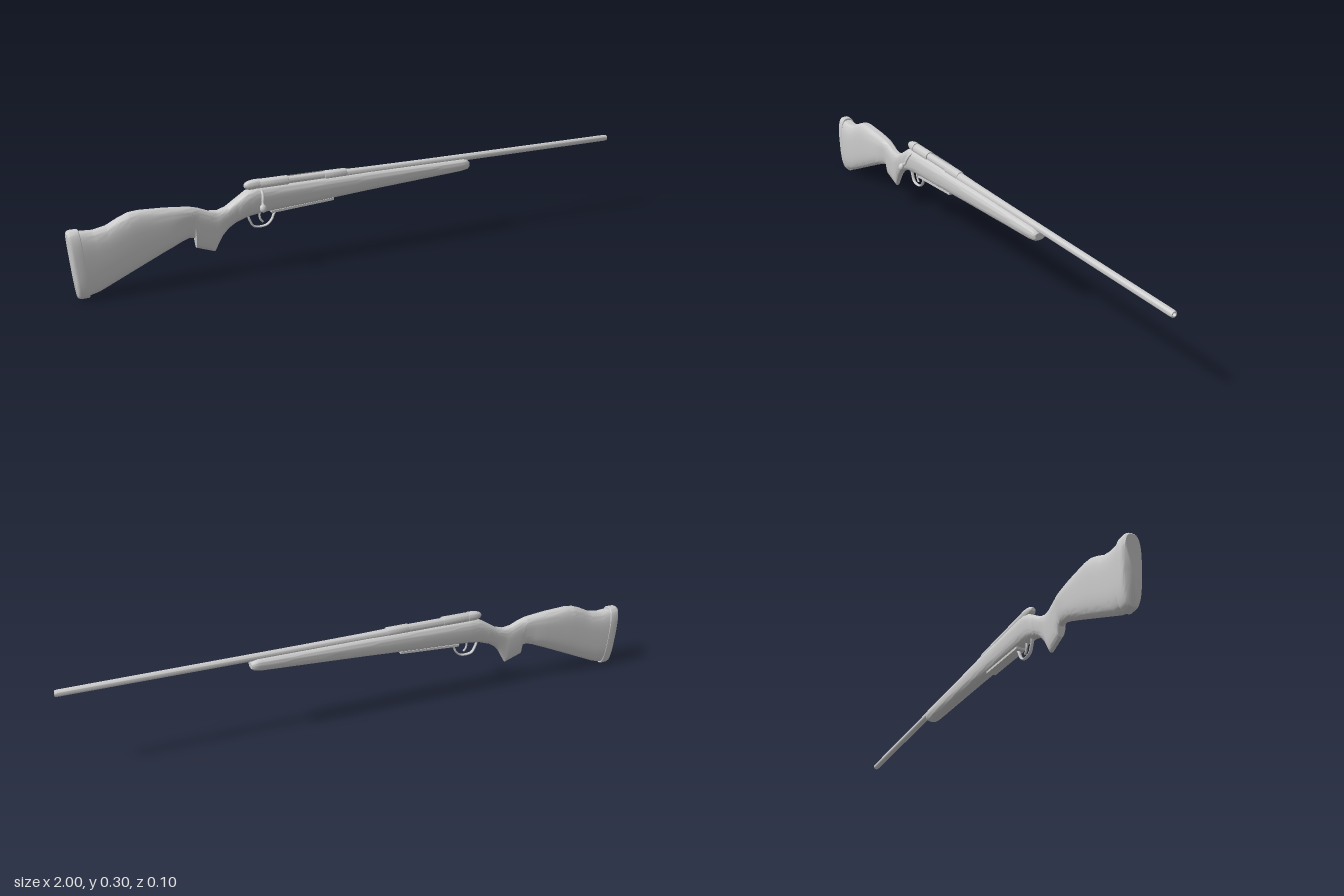
import * as THREE from 'three';
import { toCreasedNormals } from 'three/addons/utils/BufferGeometryUtils.js';

const CZ = -0.015; // centre plane of the rifle
const grey = new THREE.MeshStandardMaterial({ color: 0xcccccc, side: THREE.DoubleSide });

// linear lookup in a list of [x, value]
function at(list, x) {
  if (x <= list[0][0]) return list[0][1];
  for (let i = 1; i < list.length; i++) {
    const [x0, v0] = list[i - 1], [x1, v1] = list[i];
    if (x <= x1) return v0 + (v1 - v0) * (x - x0) / (x1 - x0);
  }
  return list[list.length - 1][1];
}

// skin of superellipse sections along x; section = { x, top, bot, w, taper, shear }
function loft(sections, n = 40, power = 2.9) {
  const pos = [], idx = [];
  const sp = v => Math.sign(v) * Math.pow(Math.abs(v), 2 / power);
  for (const s of sections) {
    for (let j = 0; j < n; j++) {
      const a = j / n * Math.PI * 2;
      const v = sp(Math.sin(a)), t = (1 - v) / 2;
      pos.push(s.x + s.shear * t, s.top + (s.bot - s.top) * t,
        sp(Math.cos(a)) * s.w * (1 + (s.taper - 1) * t));
    }
  }
  for (let i = 0; i < sections.length - 1; i++) {
    for (let j = 0; j < n; j++) {
      const k = (j + 1) % n, a = i * n + j, b = a + n, c = (i + 1) * n + k, d = i * n + k;
      idx.push(a, b, c, a, c, d);
    }
  }
  // end caps
  [0, sections.length - 1].forEach((i, end) => {
    const s = sections[i], c = pos.length / 3;
    pos.push(s.x + s.shear / 2, (s.top + s.bot) / 2, 0);
    for (let j = 0; j < n; j++) {
      const p = i * n + j, q = i * n + (j + 1) % n;
      if (end) idx.push(c, q, p); else idx.push(c, p, q);
    }
  });
  const g = new THREE.BufferGeometry();
  g.setAttribute('position', new THREE.Float32BufferAttribute(pos, 3));
  g.setIndex(idx);
  return toCreasedNormals(g, 0.6);
}

// turned part along x from [x, radius] points
function turned(points, start = 0, sweep = Math.PI * 2) {
  const g = new THREE.LatheGeometry(points.map(([x, r]) => new THREE.Vector2(r, x)), 32, start, sweep);
  g.rotateZ(-Math.PI / 2);
  return toCreasedNormals(g, 0.5);
}

function tube(points, r, steps = 32) {
  const curve = new THREE.CatmullRomCurve3(points.map(p => new THREE.Vector3(...p)));
  return new THREE.TubeGeometry(curve, steps, r, 10);
}

export function createModel() {
  const group = new THREE.Group();
  const add = (name, geo, x = 0, y = 0, z = 0) => {
    const m = new THREE.Mesh(geo, grey);
    m.name = name;
    m.position.set(x, y, z + CZ);
    group.add(m);
    return m;
  };

  // one-piece stock: butt, pistol grip and forend
  const top = [[-0.965, 0.215], [-0.92, 0.212], [-0.88, 0.22], [-0.84, 0.24], [-0.81, 0.251], [-0.78, 0.254],
    [-0.7, 0.25], [-0.62, 0.242], [-0.59, 0.234], [-0.56, 0.221], [-0.53, 0.217], [-0.5, 0.225],
    [-0.46, 0.25], [-0.43, 0.269], [-0.4, 0.277], [0, 0.279], [0.37, 0.277], [0.385, 0.273], [0.392, 0.266]];
  const bottom = [[-0.965, 0.008], [-0.93, 0.016], [-0.65, 0.133], [-0.625, 0.141], [-0.6, 0.138], [-0.595, 0.13],
    [-0.608, 0.107]].slice(0, 4).concat([[-0.607, 0.138], [-0.603, 0.105], [-0.542, 0.083],
    [-0.53, 0.105], [-0.515, 0.132], [-0.495, 0.154], [-0.47, 0.17], [-0.43, 0.184], [-0.38, 0.191],
    [-0.2, 0.201], [0, 0.214], [0.36, 0.234], [0.385, 0.238], [0.392, 0.244]]);
  const width = [[-0.965, 0.033], [-0.8, 0.031], [-0.68, 0.028], [-0.6, 0.023], [-0.54, 0.021], [-0.48, 0.025],
    [-0.4, 0.03], [0, 0.031], [0.3, 0.03], [0.37, 0.029], [0.385, 0.026], [0.392, 0.02]];
  const taper = [[-0.965, 0.95], [-0.68, 0.95], [-0.6, 0.6], [-0.53, 0.62], [-0.45, 0.85], [0.39, 0.82]];
  const shear = [[-0.965, 0.018], [-0.7, 0]];
  const xs = new Set([...top, ...bottom, ...width].map(p => p[0]));
  for (let i = 0; i < 40; i++) xs.add(-0.95 + i * 0.0333);
  const sections = [...xs].sort((a, b) => a - b).map(x => ({
    x, top: at(top, x), bot: at(bottom, x), w: at(width, x), taper: at(taper, x), shear: at(shear, x),
  }));
  add('stock', loft(sections));

  // recoil pad with a rounded back edge
  add('buttPad', loft([[-1, 0.007, 0.026], [-0.997, 0.003, 0.031], [-0.99, 0, 0.0345], [-0.966, 0, 0.035], [-0.964, 0.002, 0.033]]
    .map(([x, inset, w]) => ({ x, top: 0.222 - inset, bot: 0.001 + inset, w, taper: 0.9, shear: 0.018 }))));

  // barrel with hollow muzzle
  add('barrel', turned([[-0.16, 0], [-0.16, 0.0155], [-0.09, 0.0155], [0, 0.0138], [0.2, 0.0125], [0.4, 0.012],
    [0.99, 0.011], [0.997, 0.0105], [1, 0.009], [1, 0.006], [0.95, 0.006], [0.95, 0]]), 0, 0.28);

  // action: rear bridge, front ring, bolt and the far wall of the loading port
  const axis = 0.284;
  add('rearBridge', turned([[-0.385, 0], [-0.385, 0.0165], [-0.382, 0.0175], [-0.29, 0.0175], [-0.288, 0.016], [-0.288, 0]]), 0, axis);
  add('frontRing', turned([[-0.16, 0], [-0.16, 0.016], [-0.157, 0.0168], [-0.085, 0.0165], [-0.08, 0.015], [-0.08, 0]]), 0, axis - 0.001);
  add('bolt', turned([[-0.3, 0], [-0.3, 0.0135], [-0.15, 0.0135], [-0.15, 0]]), 0, axis);
  add('portWall', turned([[-0.29, 0.0168], [-0.158, 0.0168]], Math.PI * 0.75, Math.PI * 0.6), 0, axis);
  add('boltShroud', turned([[-0.437, 0], [-0.436, 0.006], [-0.432, 0.01], [-0.424, 0.0135], [-0.412, 0.0165], [-0.4, 0.0175],
    [-0.386, 0.0175], [-0.386, 0]]), 0, axis + 0.001);

  // bolt handle bent down on the +z side
  add('boltHandle', tube([[-0.385, 0.272, 0.01], [-0.386, 0.262, 0.03], [-0.389, 0.246, 0.041],
    [-0.392, 0.232, 0.046], [-0.395, 0.224, 0.056]], 0.0045));
  const knob = add('boltKnob', new THREE.SphereGeometry(0.0125, 20, 14), -0.396, 0.221, 0.059);
  knob.scale.set(0.9, 1.08, 0.72);
  knob.rotation.x = -0.35;

  // magazine floor plate, following the slope of the belly
  const plate = add('floorPlate', new THREE.BoxGeometry(0.22, 0.008, 0.032), -0.24, 0.197, 0);
  plate.rotation.z = 0.06;

  // trigger and guard
  const guard = add('triggerGuard', tube([[-0.428, 0.19, 0], [-0.421, 0.168, 0], [-0.408, 0.147, 0], [-0.385, 0.142, 0],
    [-0.362, 0.146, 0], [-0.345, 0.162, 0], [-0.338, 0.178, 0], [-0.325, 0.194, 0]], 0.0035, 48));
  guard.scale.z = 1.7;
  add('trigger', tube([[-0.385, 0.194, 0], [-0.387, 0.178, 0], [-0.384, 0.166, 0], [-0.376, 0.156, 0]], 0.0035, 16));

  return group;
}
